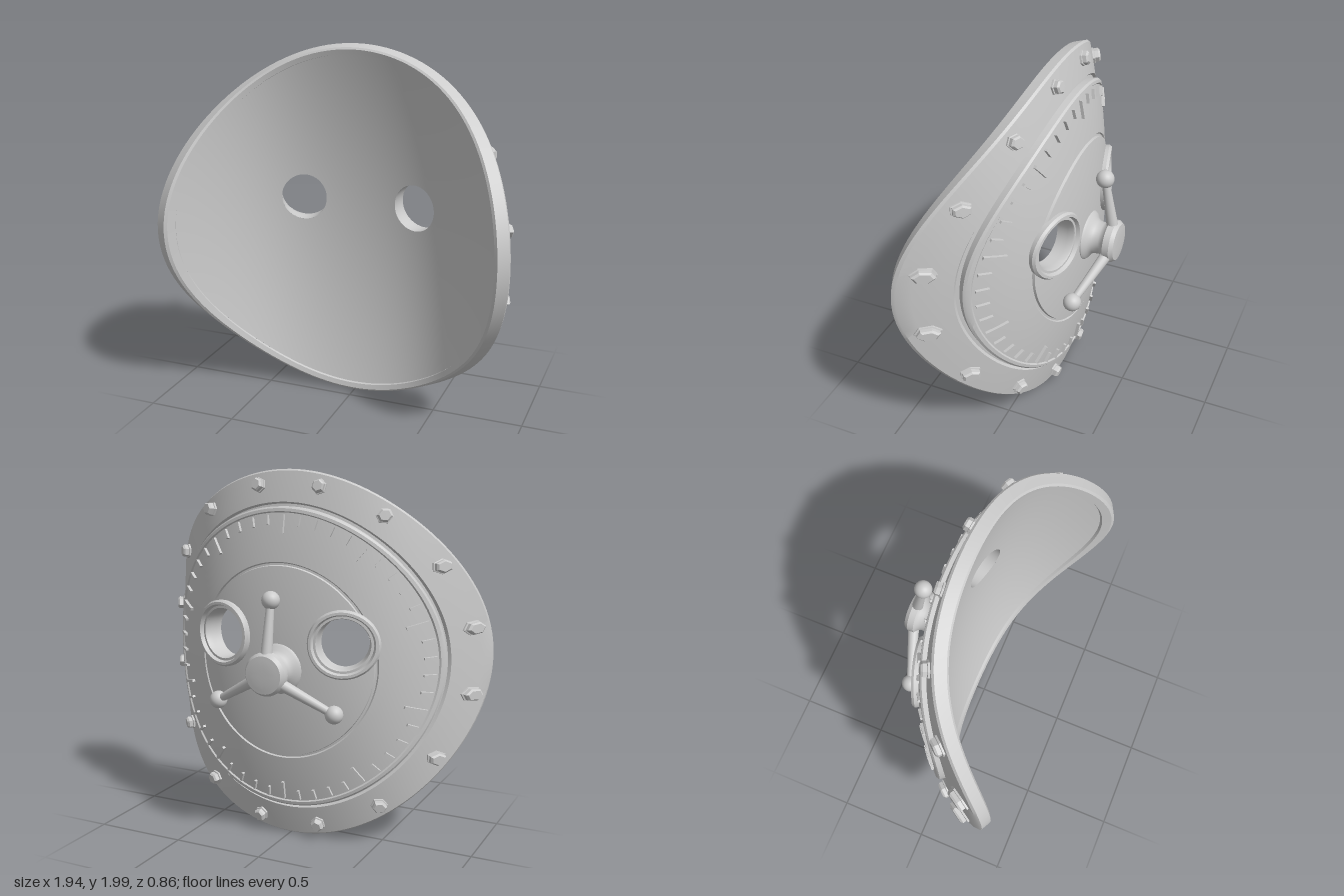
import * as THREE from 'three';
import { toCreasedNormals } from 'three/addons/utils/BufferGeometryUtils.js';

const material = new THREE.MeshStandardMaterial({ color: 0xcccccc });
const RIM = 0.98, WIDTH = 0.925, BOWL = 0.12;
const EYE = { u: 0.346, v: 0.12, r: 0.13 };
const V2 = (p) => new THREE.Vector2(p[0], p[1]);

// Bent bowl: maps a flat point (z = minus height above the front face) to the curved mask.
function bend(u, v, z) {
  const x = u * WIDTH;
  const r2 = (u * u + v * v) / (RIM * RIM);
  const depth = -0.045 + 0.195 * x ** 2 + 0.45 * x ** 4 - BOWL * (1 - r2);
  const normal = new THREE.Vector3(
    0.39 * x + 1.8 * x ** 3 + (2 * BOWL * x) / (WIDTH * RIM) ** 2,
    (2 * BOWL * v) / (RIM * RIM), -1).normalize();
  return { point: new THREE.Vector3(x, 1 + v, depth).addScaledVector(normal, -z), normal };
}

function bendGeometry(geometry, crease = 0.5) {
  const p = geometry.attributes.position;
  for (let i = 0; i < p.count; i++) {
    const q = bend(p.getX(i), p.getY(i), p.getZ(i)).point;
    p.setXYZ(i, q.x, q.y, q.z);
  }
  return toCreasedNormals(geometry, crease);
}

// Lathe whose axis points to the back (-z); long profile steps are subdivided.
function backLathe(profile, segments) {
  const pts = [V2(profile[0])];
  for (let i = 1; i < profile.length; i++) {
    const a = V2(profile[i - 1]), b = V2(profile[i]);
    const n = Math.ceil(a.distanceTo(b) / 0.04);
    for (let k = 1; k <= n; k++) pts.push(a.clone().lerp(b, k / n));
  }
  return new THREE.LatheGeometry(pts, segments).rotateX(-Math.PI / 2);
}

// Half a disc around one eye hole: a loft from the hole to the half-disc's border.
function eyePanel(radius, height, side, facing) {
  const border = [], N = 40, M = 64, ROWS = 14;
  for (let i = 0; i < N; i++) border.push([0, radius * (2 * i / N - 1)]);
  for (let i = 0; i <= M; i++) {
    const a = Math.PI * (0.5 - i / M);
    border.push([radius * Math.cos(a), radius * Math.sin(a)]);
  }
  const pos = [], nor = [], idx = [], cols = border.length;
  for (let j = 0; j <= ROWS; j++) {
    for (const [bu, bv] of border) {
      const du = bu - EYE.u, dv = bv - EYE.v, len = Math.hypot(du, dv);
      const s = (EYE.r + (len - EYE.r) * j / ROWS) / len;
      const q = bend(side * (EYE.u + du * s), EYE.v + dv * s, -height);
      pos.push(...q.point.toArray());
      nor.push(...q.normal.multiplyScalar(-facing).toArray());
    }
  }
  for (let j = 0; j < ROWS; j++) {
    for (let i = 0; i < cols - 1; i++) {
      const a = j * cols + i, b = a + 1, c = a + cols, d = c + 1;
      if (side * facing > 0) idx.push(a, b, c, b, d, c);
      else idx.push(a, c, b, b, c, d);
    }
  }
  const g = new THREE.BufferGeometry();
  g.setAttribute('position', new THREE.Float32BufferAttribute(pos, 3));
  g.setAttribute('normal', new THREE.Float32BufferAttribute(nor, 3));
  g.setIndex(idx);
  return g;
}

export function createModel() {
  const model = new THREE.Group();
  const add = (name, geometry, parent = model) => {
    const mesh = new THREE.Mesh(geometry, material);
    mesh.name = name;
    parent.add(mesh);
    return mesh;
  };
  const group = (name) => {
    const g = new THREE.Group();
    g.name = name;
    model.add(g);
    return g;
  };

  // Rim, groove, stepped dial ring and the raised edge of the centre dish
  add('rimAndDialRing', bendGeometry(backLathe([
    [0.94, 0.015], [0.945, 0], [0.972, 0], [0.98, 0.01], [0.98, 0.07], [0.97, 0.08],
    [0.815, 0.08], [0.808, 0.065], [0.795, 0.065], [0.79, 0.1], [0.78, 0.108],
    [0.765, 0.108], [0.76, 0.1], [0.515, 0.1], [0.51, 0.092], [0.5, 0.092], [0.495, 0.105],
  ], 144)));

  // Inner bowl and back dish, each in two halves, and the eye rings
  for (const side of [1, -1]) {
    const name = side > 0 ? 'left' : 'right';
    add(name + 'InnerBowl', eyePanel(0.94, 0.015, side, 1));
    add(name + 'CentreDish', eyePanel(0.495, 0.105, side, -1));
    const ring = backLathe([
      [0.175, 0.095], [0.175, 0.125], [0.165, 0.138], [0.152, 0.138],
      [0.145, 0.118], [0.133, 0.118], [EYE.r, 0.11], [EYE.r, 0.015],
    ], 40).translate(side * EYE.u, EYE.v, 0);
    add(name + 'EyeRing', bendGeometry(ring));
  }

  // Sixteen hexagonal bolts on washers round the rim
  const bolts = group('bolts');
  for (let i = 0; i < 16; i++) {
    const a = (i + 0.5) * Math.PI / 8;
    const bolt = backLathe([
      [0.04, 0.075], [0.04, 0.09], [0.034, 0.092], [0.034, 0.112], [0.026, 0.122], [0, 0.122],
    ], 6).rotateZ(a - Math.PI / 2).translate(0.91 * Math.cos(a), 0.91 * Math.sin(a), 0);
    add('bolt', bendGeometry(bolt, 0.3), bolts);
  }

  // Fifty dial marks, every fifth one longer
  const marks = group('dialMarks');
  for (let i = 0; i < 50; i++) {
    const a = Math.PI / 2 + i * Math.PI / 25;
    const long = i % 5 === 0, length = long ? 0.095 : 0.05;
    const mark = new THREE.BoxGeometry(length, long ? 0.014 : 0.012, 0.025, 3, 1, 1)
      .translate(0.75 - length / 2, 0, -0.104).rotateZ(a);
    add('dialMark', bendGeometry(mark), marks);
  }

  // Three-armed turning handle
  const handle = group('handle');
  handle.position.y = 0.97;
  add('hub', toCreasedNormals(backLathe([
    [0.135, 0.23], [0.135, 0.268], [0.125, 0.28], [0.105, 0.29], [0.09, 0.31], [0.086, 0.345],
    [0.095, 0.365], [0.115, 0.38], [0.115, 0.415], [0.1, 0.436], [0.06, 0.44], [0, 0.441],
  ], 40), 0.6), handle);
  for (let i = 0; i < 3; i++) {
    const a = Math.PI / 2 + i * Math.PI * 2 / 3;
    const dir = new THREE.Vector3(Math.cos(a), Math.sin(a), 0);
    const start = dir.clone().multiplyScalar(0.07).setZ(-0.4);
    const end = dir.clone().multiplyScalar(i ? 0.395 : 0.375).setZ(i ? -0.308 : -0.345);
    const axis = end.clone().sub(start);
    const arm = add('arm', new THREE.CylinderGeometry(0.02, 0.032, axis.length(), 16), handle);
    arm.position.copy(start).lerp(end, 0.5);
    arm.quaternion.setFromUnitVectors(new THREE.Vector3(0, 1, 0), axis.normalize());
    add('ballEnd', new THREE.SphereGeometry(0.048, 24, 16), handle).position.copy(end);
  }
  return model;
}
